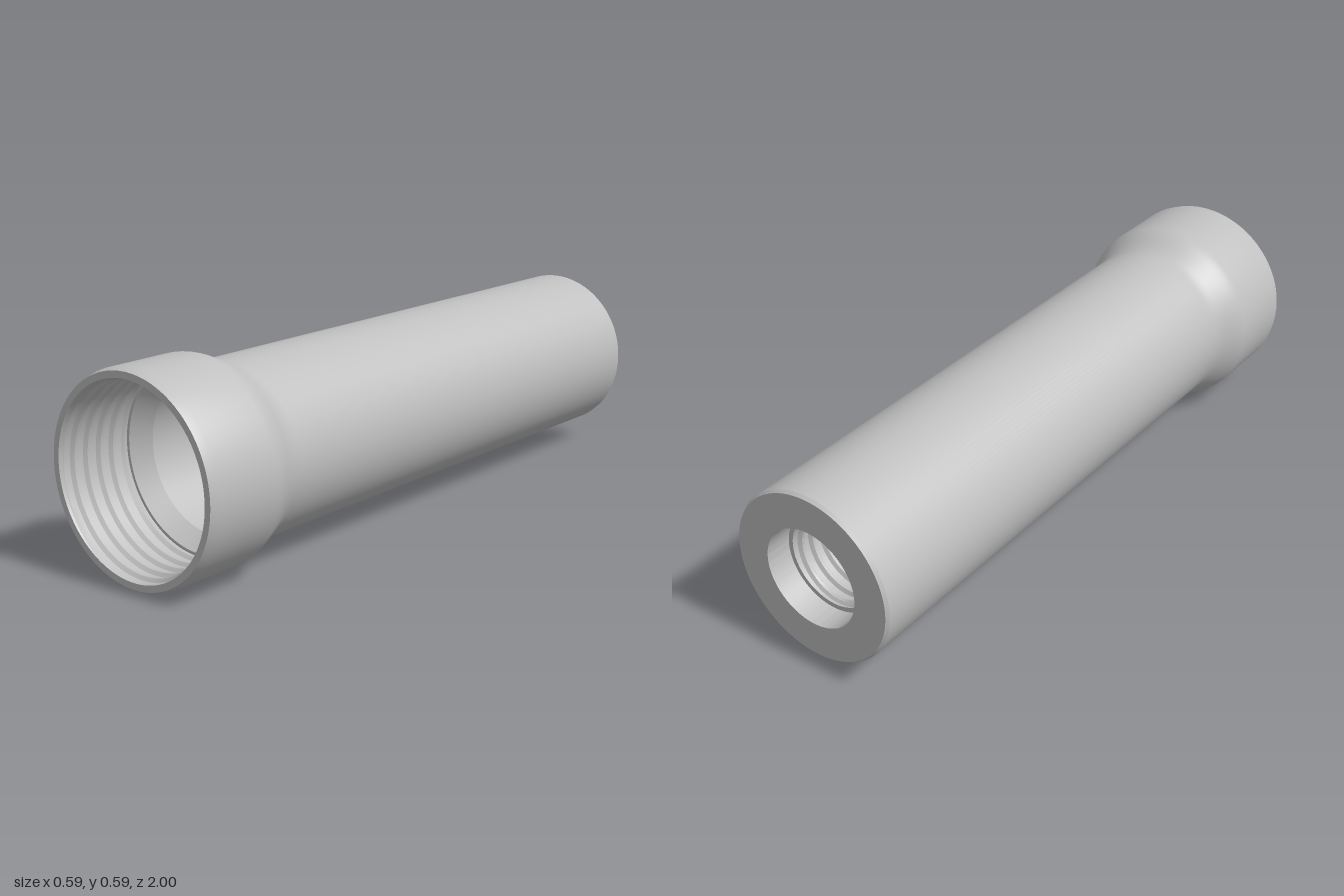
import * as THREE from 'three';
import { toCreasedNormals } from 'three/addons/utils/BufferGeometryUtils.js';

const SEGMENTS = 128;
const AXIS_Y = 0.295;

export function createModel() {
  const group = new THREE.Group();
  group.name = 'threadedSleeve';
  const metal = new THREE.MeshStandardMaterial({ color: 0xc0c0c0 });
  metal.name = 'plain grey';

  function add(name, geometry) {
    const mesh = new THREE.Mesh(toCreasedNormals(geometry, 0.4), metal);
    mesh.name = name;
    mesh.position.y = AXIS_Y;
    group.add(mesh);
  }

  // Turned surface about the z axis from [radius, z] pairs
  function turned(name, profile) {
    const points = profile.map(([r, z]) => new THREE.Vector2(r, z));
    add(name, new THREE.LatheGeometry(points, SEGMENTS).rotateX(Math.PI / 2));
  }

  // Internal helical thread between z0 and z1, its ridge fading out at both ends
  function thread(name, z0, z1, root, crest, pitch) {
    const ridge = [[0, 0], [0.45, 0], [0.6, 1], [0.8, 1]];
    const turns = Math.ceil((z1 - z0) / pitch);
    const rows = [];
    for (let k = -1; k <= turns; k++) {
      for (const [u, h] of ridge) rows.push([(k + u) * pitch, h]);
    }
    const positions = [], index = [], n = rows.length;
    for (let i = 0; i <= SEGMENTS; i++) {
      const t = i / SEGMENTS, a = t * Math.PI * 2;
      for (const [offset, h] of rows) {
        const z = THREE.MathUtils.clamp(z0 + offset + t * pitch, z0, z1);
        const fade = Math.min(1, (z - z0) / (pitch * 0.5), (z1 - z) / (pitch * 0.5));
        const r = root - (root - crest) * h * fade;
        positions.push(r * Math.cos(a), r * Math.sin(a), z);
      }
    }
    const face = (...corners) => {
      const zs = corners.map((c) => positions[c * 3 + 2]);
      if (Math.max(...zs) - Math.min(...zs) > 1e-6) index.push(...corners);
    };
    for (let i = 0; i < SEGMENTS; i++) {
      for (let j = 0; j < n - 1; j++) {
        const a = i * n + j, b = a + n;
        face(a, a + 1, b);
        face(b, a + 1, b + 1);
      }
    }
    const geometry = new THREE.BufferGeometry();
    geometry.setAttribute('position', new THREE.Float32BufferAttribute(positions, 3));
    geometry.setIndex(index);
    add(name, geometry);
  }

  // Back face and long outer tube
  turned('body', [[0.148, -1], [0.249, -1], [0.255, -0.99], [0.255, 0.64]]);

  // Smooth flare up to the collar, then the chamfered lip
  const collar = [];
  for (let i = 0; i <= 12; i++) {
    const t = i / 12;
    collar.push([0.255 + 0.04 * t * t * (3 - 2 * t), 0.64 + 0.13 * t]);
  }
  collar.push([0.295, 0.975], [0.288, 1], [0.269, 1]);
  turned('collar', collar);

  // Wide thread inside the collar
  thread('frontThread', 0.76, 1, 0.269, 0.26, 0.045);

  // Seat, main bore and the wall around the small hole
  turned('bore', [[0.269, 0.76], [0.26, 0.76], [0.22, 0.71], [0.22, -0.65], [0.134, -0.65]]);

  // Narrow thread and smooth counterbore at the back
  thread('backThread', -0.92, -0.65, 0.134, 0.123, 0.04);
  turned('counterbore', [[0.134, -0.92], [0.148, -0.92], [0.148, -1]]);

  return group;
}
